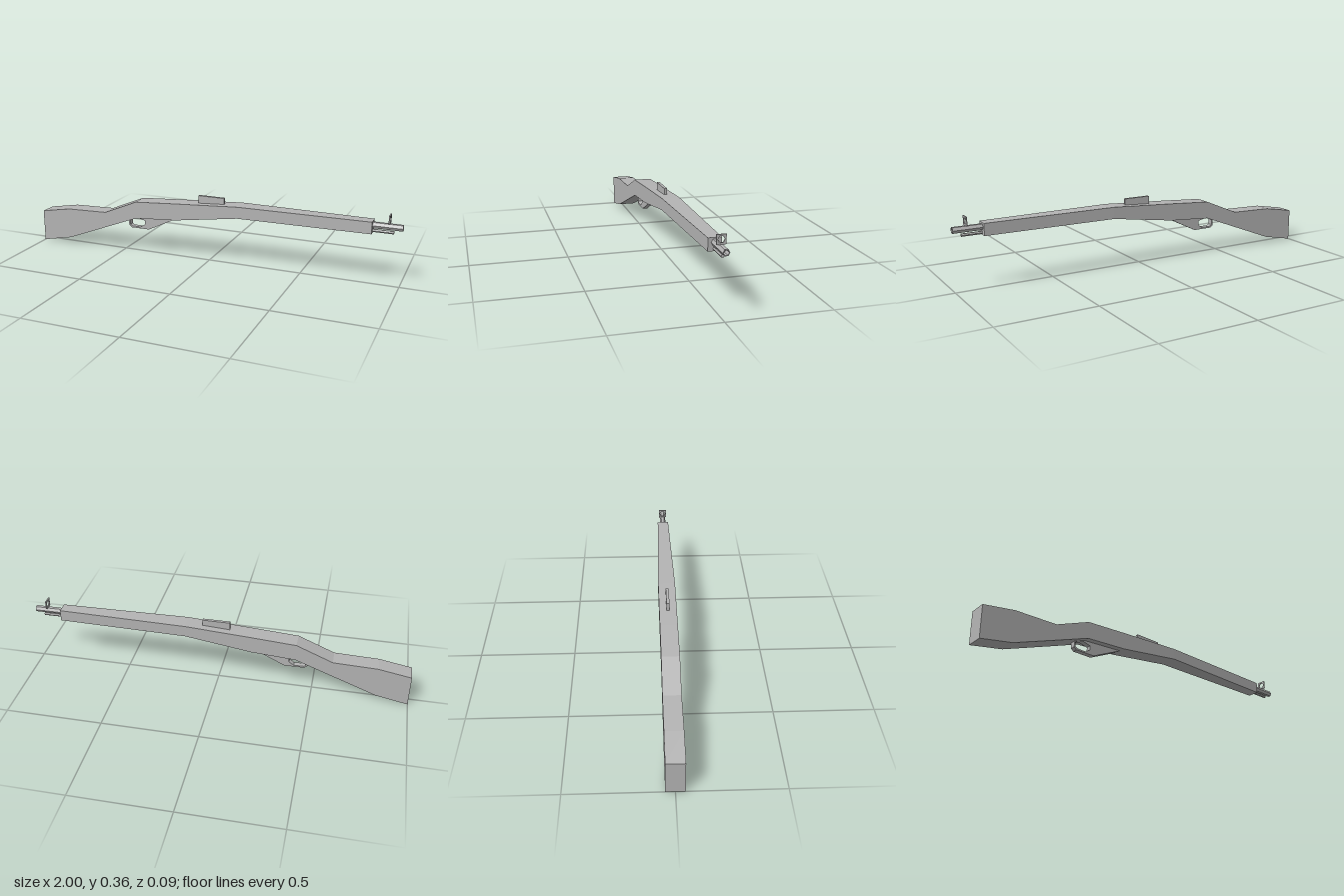
import * as THREE from 'three';

const grey = new THREE.MeshStandardMaterial({ color: 0xb4b4b4 });
grey.name = 'grey';
grey.flatShading = true;

function add(group, name, geometry, x = 0, y = 0, z = 0) {
  const mesh = new THREE.Mesh(geometry, grey);
  mesh.name = name;
  mesh.position.set(x, y, z);
  group.add(mesh);
  return mesh;
}

// Rectangular cross-sections [x, bottom, top, half width] joined along x
function loft(sections) {
  const rings = sections.map(([x, b, t, w]) => [[x, b, w], [x, b, -w], [x, t, -w], [x, t, w]]);
  const pos = [];
  const quad = (a, b, c, d) => [a, b, c, a, c, d].forEach(p => pos.push(...p));
  for (let i = 0; i < rings.length - 1; i++) {
    const p = rings[i], q = rings[i + 1];
    for (let k = 0; k < 4; k++) {
      const n = (k + 1) % 4;
      quad(p[k], p[n], q[n], q[k]);
    }
  }
  const f = rings[0], l = rings[rings.length - 1];
  quad(f[3], f[2], f[1], f[0]);
  quad(l[0], l[1], l[2], l[3]);
  const g = new THREE.BufferGeometry();
  g.setAttribute('position', new THREE.Float32BufferAttribute(pos, 3));
  g.computeVertexNormals();
  return g;
}

// Flat shape with an optional hole, thickened evenly about z = 0
function plate(outline, hole, depth) {
  const points = list => list.map(([x, y]) => new THREE.Vector2(x, y));
  const shape = new THREE.Shape(points(outline));
  if (hole) shape.holes.push(new THREE.Path(points(hole)));
  return new THREE.ExtrudeGeometry(shape, { depth, bevelEnabled: false }).translate(0, 0, -depth / 2);
}

const hexagon = r => Array.from({ length: 6 }, (_, i) => [r * Math.cos(i * Math.PI / 3), r * Math.sin(i * Math.PI / 3)]);

export function createModel() {
  const model = new THREE.Group();
  model.name = 'rifle';

  // One-piece stock, tapering towards the muzzle
  add(model, 'stock', loft([
    [-1, 0.003, 0.174, 0.045],
    [-0.83, 0.037, 0.204, 0.045],
    [-0.6, 0.126, 0.211, 0.045],
    [-0.41, 0.2, 0.291, 0.045],
    [-0.18, 0.216, 0.307, 0.045],
    [0.17, 0.268, 0.329, 0.045],
    [0.855, 0.268, 0.329, 0.031],
  ]));

  // Trigger guard with finger opening
  add(model, 'triggerGuard', plate(
    [[-0.47, 0.146], [-0.455, 0.134], [-0.35, 0.134], [-0.18, 0.217], [-0.4, 0.208], [-0.47, 0.185]],
    [[-0.462, 0.15], [-0.45, 0.143], [-0.4, 0.142], [-0.374, 0.16], [-0.374, 0.182], [-0.42, 0.194], [-0.462, 0.178]],
    0.027));

  // Six-sided barrel with a recessed bore; lathe axis turned to +x
  const barrel = new THREE.LatheGeometry(
    [[0, 0], [0.0165, 0], [0.0165, 0.16], [0.0125, 0.16], [0.0125, 0.12], [0, 0.12]]
      .map(([r, y]) => new THREE.Vector2(r, y)), 6);
  add(model, 'barrel', barrel.rotateZ(-Math.PI / 2), 0.84, 0.307, 0);

  // Cleaning rod under the barrel
  add(model, 'cleaningRod', new THREE.CylinderGeometry(0.008, 0.008, 0.117, 6).rotateZ(-Math.PI / 2), 0.8985, 0.279, 0);

  // Front sight: thin square with a six-sided window, facing along the barrel
  const s = 0.0225;
  add(model, 'frontSight', plate([[-s, -s], [s, -s], [s, s], [-s, s]], hexagon(0.0165), 0.006)
    .rotateY(Math.PI / 2), 0.934, 0.345, 0);

  // Rear sight block
  add(model, 'rearSight', new THREE.BoxGeometry(0.143, 0.045, 0.015), 0.013, 0.333, 0);

  return model;
}
